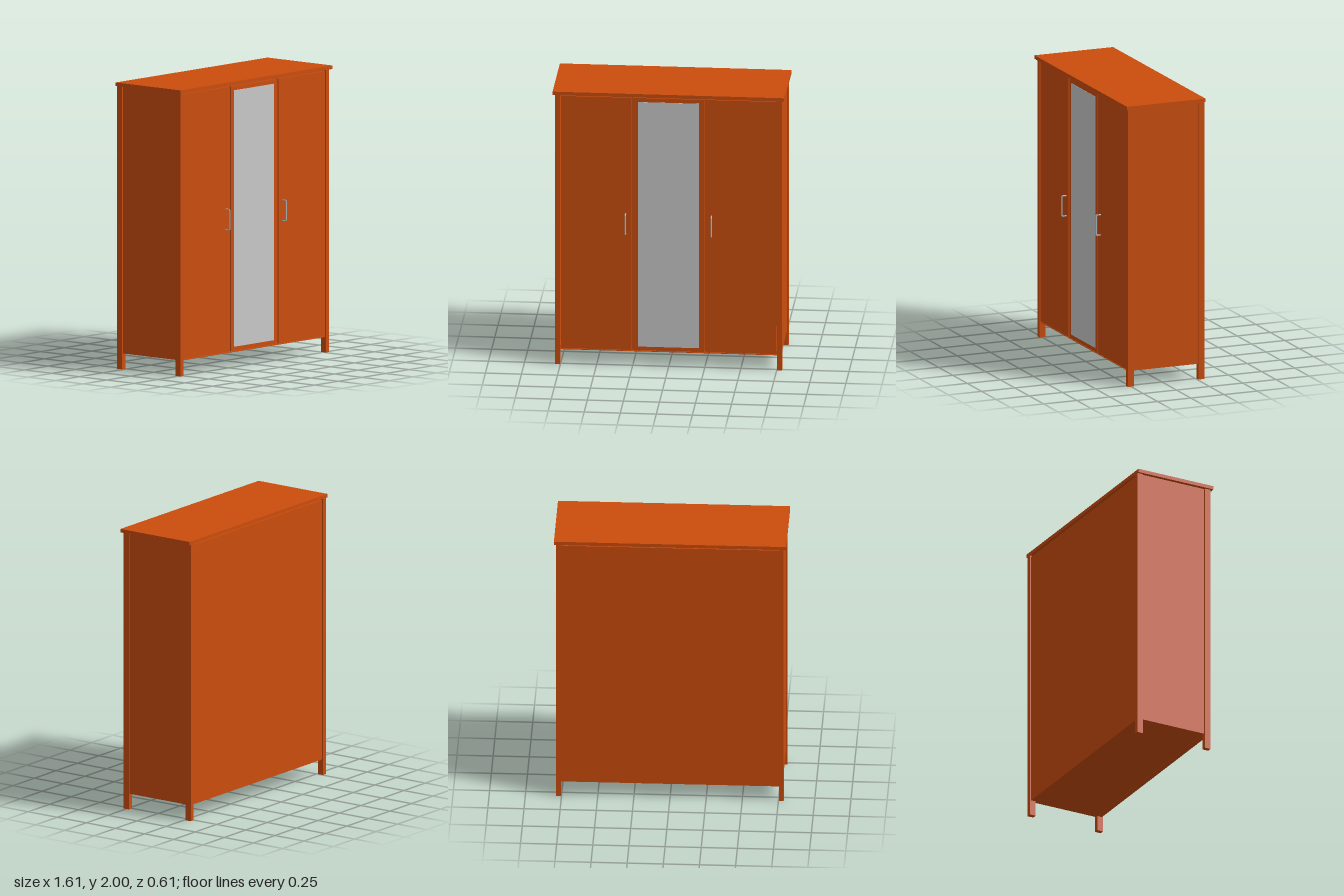
import * as THREE from 'three';

export function createModel() {
  const model = new THREE.Group();
  model.name = 'wardrobe';
  const material = (name, color) => {
    const m = new THREE.MeshStandardMaterial({ color });
    m.name = name;
    return m;
  };
  const wood = material('orange wood', 0xcc4d0d);
  const glass = material('mirror grey', 0xcacaca);
  const metal = material('handle metal', 0xaab5bc);

  // Box given by its limits on each axis
  function box(name, [x0, x1], [y0, y1], [z0, z1], mat = wood) {
    const mesh = new THREE.Mesh(new THREE.BoxGeometry(x1 - x0, y1 - y0, z1 - z0), mat);
    mesh.position.set((x0 + x1) / 2, (y0 + y1) / 2, (z0 + z1) / 2);
    mesh.name = name;
    model.add(mesh);
    return mesh;
  }
  const span = (s, a, b) => (s > 0 ? [a, b] : [-b, -a]);

  // Carcass
  box('topBoard', [-0.803, 0.803], [1.975, 2], [-0.305, 0.287]);
  box('bottomBoard', [-0.765, 0.765], [0.11, 0.13], [-0.285, 0.243]);
  box('backPanel', [-0.755, 0.755], [0.11, 1.965], [-0.295, -0.28]);
  box('backRail', [-0.755, 0.755], [1.945, 1.975], [-0.28, -0.265]);
  box('frontRail', [-0.755, 0.755], [1.968, 1.975], [0.225, 0.266]);
  box('bottomRail', [-0.755, 0.755], [0.108, 0.113], [0.225, 0.264]);

  // Bent tube with rounded corners for the door pulls
  const path = new THREE.CurvePath();
  const v = (y, z) => new THREE.Vector3(0, y, z);
  path.add(new THREE.LineCurve3(v(-0.072, 0.26), v(-0.072, 0.292)));
  path.add(new THREE.QuadraticBezierCurve3(v(-0.072, 0.292), v(-0.072, 0.3), v(-0.064, 0.3)));
  path.add(new THREE.LineCurve3(v(-0.064, 0.3), v(0.064, 0.3)));
  path.add(new THREE.QuadraticBezierCurve3(v(0.064, 0.3), v(0.072, 0.3), v(0.072, 0.292)));
  path.add(new THREE.LineCurve3(v(0.072, 0.292), v(0.072, 0.26)));
  const pull = new THREE.TubeGeometry(path, 80, 0.005, 10);

  for (const s of [1, -1]) {
    const side = s > 0 ? 'left' : 'right';
    // Corner posts run down to form the feet
    box(side + 'FrontLeg', span(s, 0.753, 0.787), [0, 1.975], [0.227, 0.272]);
    box(side + 'BackLeg', span(s, 0.753, 0.787), [0, 1.975], [-0.305, -0.26]);
    box(side + 'SidePanel', span(s, 0.76, 0.777), [0.11, 1.975], [-0.27, 0.235]);
    box(side + 'Partition', span(s, 0.242, 0.258), [0.13, 1.965], [-0.28, 0.243]);
    box(side + 'Door', span(s, 0.256, 0.747), [0.117, 1.964], [0.245, 0.266]);

    const handle = new THREE.Mesh(pull, metal);
    handle.position.set(0.298 * s, 1.042, 0);
    handle.name = side + 'Handle';
    model.add(handle);
  }

  // Centre door with its mirror
  box('centreDoor', [-0.246, 0.246], [0.117, 1.964], [0.245, 0.266]);
  box('mirror', [-0.213, 0.21], [0.145, 1.935], [0.264, 0.268], glass);
  return model;
}
